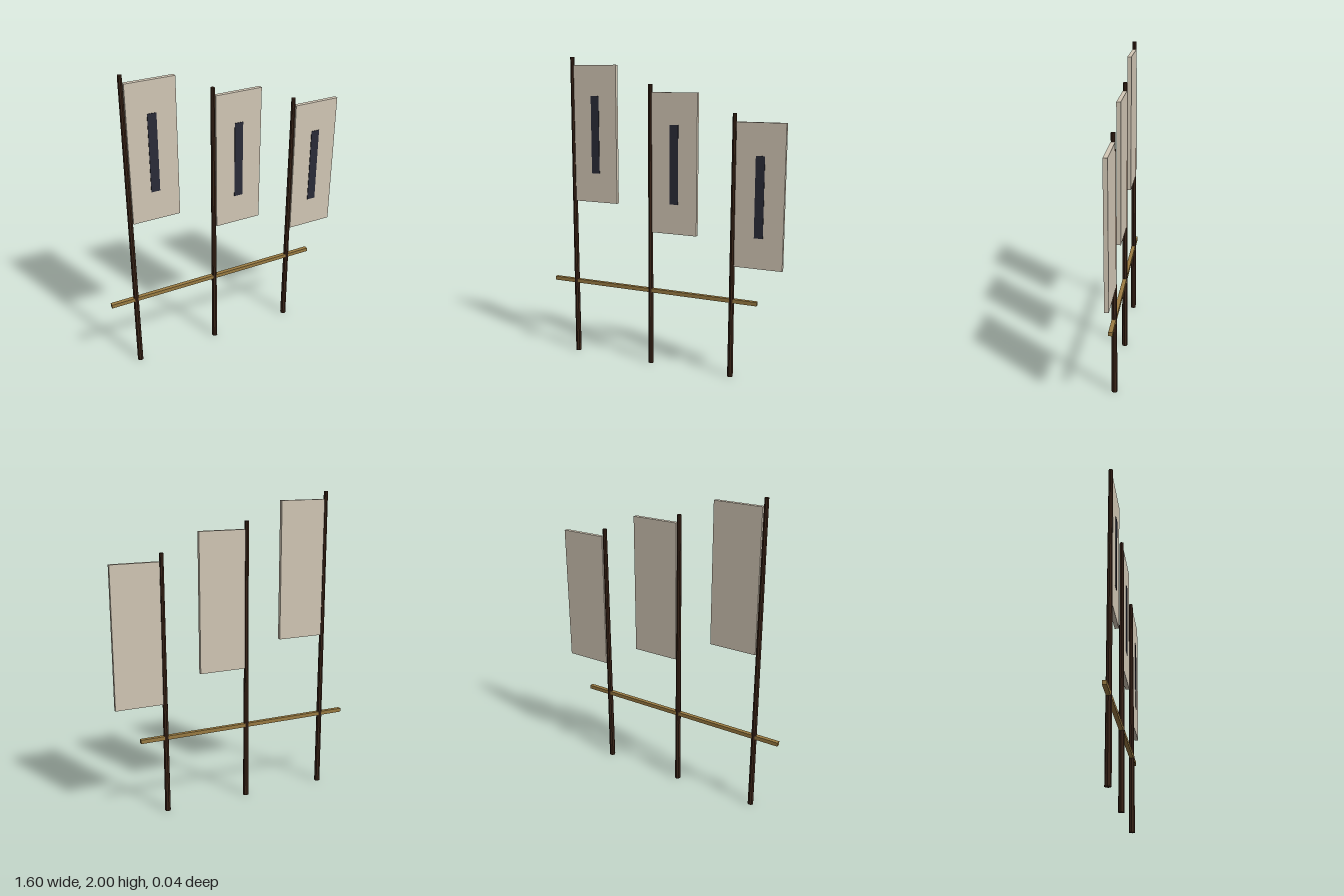
import * as THREE from 'three';

const mat = (color, flatShading = false) => new THREE.MeshStandardMaterial({ color, flatShading });

export function createModel() {
  const root = new THREE.Group();
  root.name = 'bannerRow';
  const wood = mat(0x3a2418, true);
  const cloth = mat(0xd3c8b6);
  const ink = mat(0x2a2b38);
  const railWood = mat(0x9a7b42);

  const add = (parent, name, geometry, material, x, y, z = 0) => {
    const mesh = new THREE.Mesh(geometry, material);
    mesh.name = name;
    mesh.position.set(x, y, z);
    parent.add(mesh);
  };

  // three poles with banners, stepping down from right to left
  for (let i = 0; i < 3; i++) {
    const flag = new THREE.Group();
    flag.name = 'bannerPole';
    flag.position.x = -0.635 + i * 0.556;
    const height = 2 - i * 0.1667;

    // tapered pole
    add(flag, 'pole', new THREE.CylinderGeometry(0.0135, 0.019, height, 8), wood, 0, height / 2);
    // hanging cloth panel
    add(flag, 'banner', new THREE.BoxGeometry(0.305, 0.889, 0.026), cloth, 0.168, height - 0.4945);
    // dark stripe on the front only
    add(flag, 'stripe', new THREE.BoxGeometry(0.056, 0.5, 0.006), ink, 0.168, height - 0.4975, 0.0135);
    root.add(flag);
  }

  // horizontal rail tying the poles together
  add(root, 'rail', new THREE.BoxGeometry(1.444, 0.025, 0.026), railWood, -0.078, 0.503);
  return root;
}
